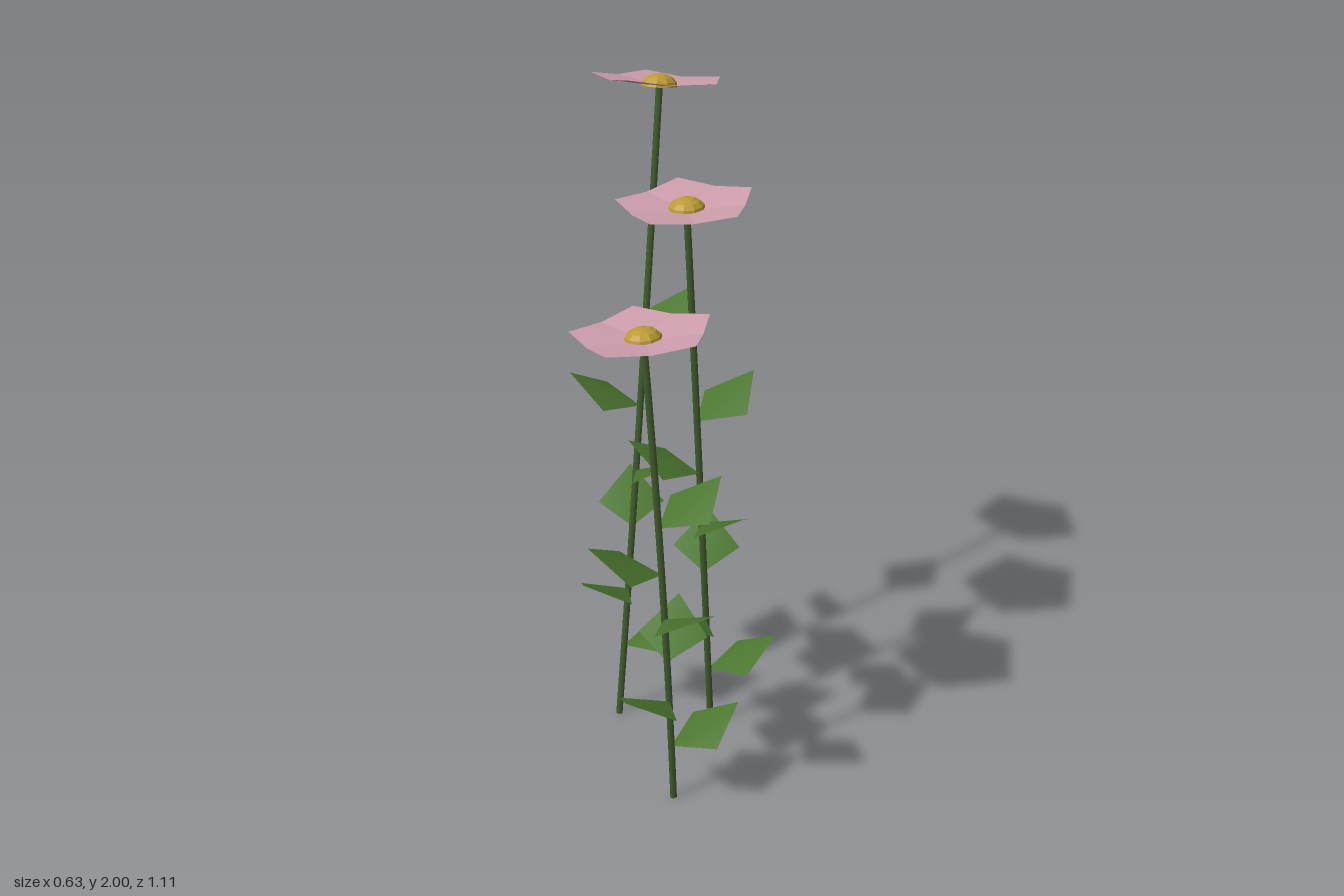
import * as THREE from 'three';

const stemGreen = new THREE.MeshStandardMaterial({ color: 0x415c2d });
stemGreen.name = 'stem green';
const leafGreen = new THREE.MeshStandardMaterial({ color: 0x4a752e, side: THREE.DoubleSide });
leafGreen.name = 'leaf green';
const petalPink = new THREE.MeshStandardMaterial({ color: 0xcf9fae, side: THREE.DoubleSide });
petalPink.name = 'petal pink';
const centreGold = new THREE.MeshStandardMaterial({ color: 0xbc9a33, flatShading: true });
centreGold.name = 'centre gold';

// Kite-shaped blade along +x, softly folded on its midrib, facing up
function kite(length, sideAt, halfWidth, sideRise, tipRise) {
  const corners = [[0, 0, 0], [sideAt, sideRise, halfWidth], [length, tipRise, 0], [sideAt, sideRise, -halfWidth]];
  const g = new THREE.BufferGeometry();
  g.setAttribute('position', new THREE.Float32BufferAttribute(corners.flat(), 3));
  g.setIndex([0, 1, 2, 0, 2, 3]);
  g.computeVertexNormals();
  return g;
}

const leafShape = kite(0.206, 0.103, 0.1, 0.03, 0.106);
const petalShape = kite(0.2, 0.127, 0.101, 0.016, 0.027);
const domeShape = new THREE.SphereGeometry(0.053, 10, 4, 0, Math.PI * 2, 0, Math.PI / 2);

function mesh(name, geometry, material) {
  const m = new THREE.Mesh(geometry, material);
  m.name = name;
  return m;
}

// Five cupped petals around a flattened dome
function makeBloom(turn) {
  const bloom = new THREE.Group();
  bloom.name = 'bloom';
  for (let i = 0; i < 5; i++) {
    const petal = mesh('petal', petalShape, petalPink);
    petal.rotation.y = Math.PI / 2 + turn + i * Math.PI * 2 / 5;
    bloom.add(petal);
  }
  const dome = mesh('flowerCentre', domeShape, centreGold);
  dome.scale.y = 0.68;
  bloom.add(dome);
  return bloom;
}

// One plant: curved stem, leaves given as [height, heading in degrees], bloom on top
function makePlant(name, base, bend, top, turn, leaves) {
  const plant = new THREE.Group();
  plant.name = name;
  const [a, b, c] = [base, bend, top].map(p => new THREE.Vector3(...p));
  const curve = new THREE.QuadraticBezierCurve3(a, b, c);
  plant.add(mesh('stem', new THREE.TubeGeometry(curve, 10, 0.0105, 6), stemGreen));

  for (const [height, heading] of leaves) {
    const leaf = mesh('leaf', leafShape, leafGreen);
    leaf.position.copy(curve.getPoint(height / top[1]));
    leaf.rotation.y = -THREE.MathUtils.degToRad(heading);
    plant.add(leaf);
  }

  const bloom = makeBloom(turn);
  bloom.position.copy(c);
  bloom.quaternion.setFromUnitVectors(new THREE.Vector3(0, 1, 0), curve.getTangent(1));
  plant.add(bloom);
  return plant;
}

export function createModel() {
  const model = new THREE.Group();
  model.name = 'flowers';
  model.add(
    makePlant('shortFlower', [-0.055, 0, 0.37], [-0.08, 0.728, 0.38], [-0.13, 1.456, 0.33], 0,
      [[0.182, -11], [0.337, 134], [0.47, -72], [0.612, 66], [0.755, 178], [0.9, -24]]),
    makePlant('middleFlower', [0.115, 0, 0.01], [0.075, 0.846, 0.03], [0.035, 1.692, 0.01], -0.03,
      [[0.2, 2], [0.375, 134], [0.547, -77], [0.715, 64], [0.88, -170], [1.05, -28]]),
    makePlant('tallFlower', [-0.158, 0, -0.083], [-0.075, 0.965, -0.16], [0.012, 1.931, -0.352], 0.06,
      [[0.235, 3], [0.425, 137], [0.628, -84], [0.808, 58], [1.007, -170], [1.2, -42]]),
  );
  return model;
}
